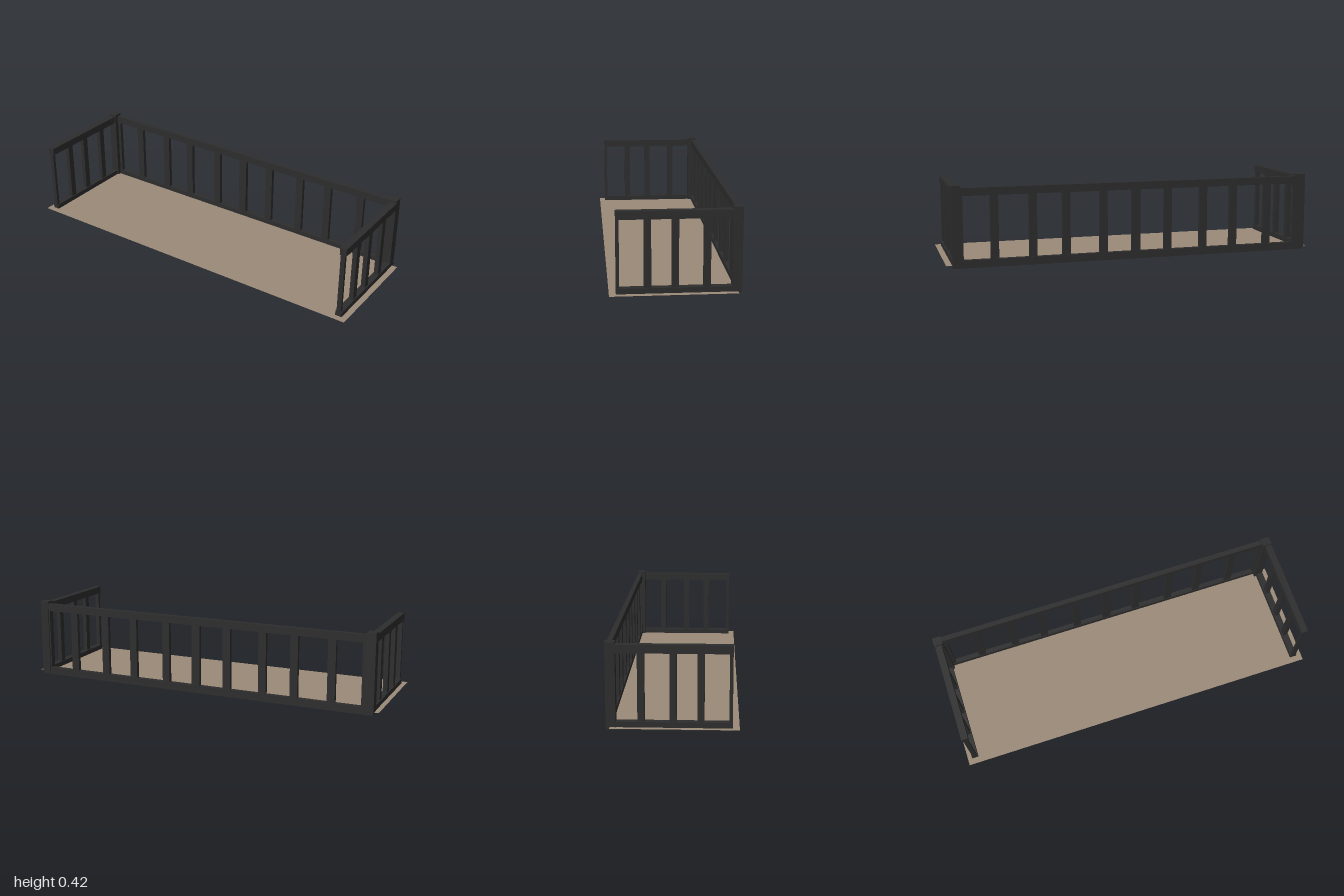
import * as THREE from 'three';

export function createModel() {
  const model = new THREE.Group();
  model.name = 'balcony';

  const metal = new THREE.MeshStandardMaterial({ color: 0x2d2d2d });
  metal.name = 'charcoal metal';
  const wood = new THREE.MeshStandardMaterial({ color: 0x9b8a78, side: THREE.DoubleSide });
  wood.name = 'weathered wood';

  // Box given by its limits on each axis
  function bar(parent, name, [x0, x1], [y0, y1], [z0, z1]) {
    const mesh = new THREE.Mesh(new THREE.BoxGeometry(x1 - x0, y1 - y0, z1 - z0), metal);
    mesh.position.set((x0 + x1) / 2, (y0 + y1) / 2, (z0 + z1) / 2);
    mesh.name = name;
    parent.add(mesh);
  }
  const around = (centre, size) => [centre - size / 2, centre + size / 2];

  const bottomY = [0.001, 0.041];
  const topY = [0.371, 0.411];
  const uprightY = [0.041, 0.371];

  // Floor sheet
  const floor = new THREE.Mesh(new THREE.PlaneGeometry(2, 0.608).rotateX(-Math.PI / 2), wood);
  floor.position.set(0, 0.0145, 0.009);
  floor.name = 'floor';
  model.add(floor);

  // Back railing
  const back = new THREE.Group();
  back.name = 'backRailing';
  model.add(back);
  const backZ = around(-0.298, 0.026);
  bar(back, 'bottomRail', [-0.968, 0.962], bottomY, backZ);
  bar(back, 'topRail', [-0.955, 0.945], topY, backZ);
  for (const x of [-0.754, -0.554, -0.38, -0.179, 0, 0.177, 0.377, 0.553, 0.752]) {
    bar(back, 'baluster', around(x, x === 0 ? 0.047 : 0.042), uprightY, around(-0.298, 0.02));
  }
  for (const x of [-0.931, 0.931]) {
    bar(back, 'endStile', around(x, 0.038), uprightY, around(-0.298, 0.02));
  }

  // Side railings and corner posts
  for (const [side, railX, postX] of [['left', 0.951, 0.944], ['right', -0.957, -0.954]]) {
    const railing = new THREE.Group();
    railing.name = side + 'Railing';
    model.add(railing);
    bar(railing, 'bottomRail', around(railX, 0.036), bottomY, [-0.308, 0.28]);
    bar(railing, 'topRail', around(railX, 0.036), topY, [-0.28, 0.28]);
    for (const z of [0.1315, 0.002, -0.148]) {
      bar(railing, 'baluster', around(railX, 0.024), uprightY, around(z, 0.034));
    }
    bar(railing, 'frontStile', around(railX, 0.024), uprightY, [0.264, 0.28]);
    bar(railing, 'cornerPost', around(postX, 0.048), [0.015, 0.423], [-0.313, -0.266]);
  }

  return model;
}
